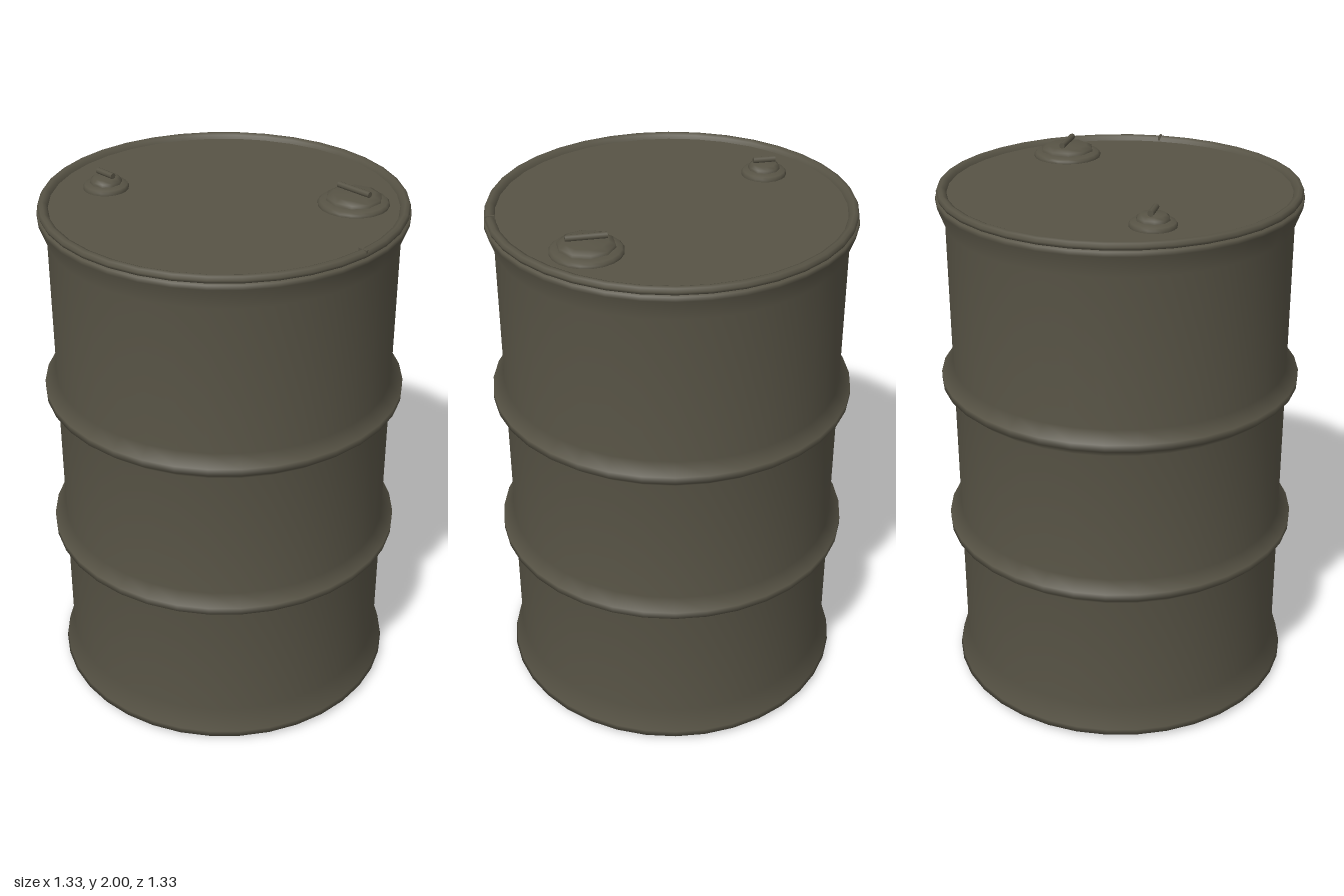
import * as THREE from 'three';

export function createModel() {
  const model = new THREE.Group();
  model.name = 'oilDrum';
  const paint = new THREE.MeshStandardMaterial({ color: 0x575345 });
  paint.name = 'drab olive paint';

  const add = (parent, name, geometry, x = 0, y = 0, z = 0) => {
    const mesh = new THREE.Mesh(geometry, paint);
    mesh.name = name;
    mesh.position.set(x, y, z);
    parent.add(mesh);
    return mesh;
  };
  // Profiles run from the bottom up as [radius, height]
  const lathe = (points, sides) =>
    new THREE.LatheGeometry(points.map(([r, y]) => new THREE.Vector2(r, y)), sides);

  // Shell: flared foot, two rolling hoops, flared top
  const hoop = (y) => [[0.622, y - 0.05], [0.665, y - 0.013], [0.665, y + 0.013], [0.622, y + 0.05]];
  add(model, 'shell', lathe([
    [0.605, 0.003], [0.655, 0.022], [0.65, 0.04], [0.622, 0.13],
    ...hoop(0.64), ...hoop(1.237),
    [0.622, 1.83], [0.652, 1.91], [0.65, 1.925], [0.63, 1.93],
  ], 36));

  // Flat ends
  const base = add(model, 'base', new THREE.CircleGeometry(0.606, 36), 0, 0.003, 0);
  base.rotation.x = Math.PI / 2;
  const lid = add(model, 'lid', new THREE.CircleGeometry(0.625, 36), 0, 1.935, 0);
  lid.rotation.x = -Math.PI / 2;

  // Clamping ring round the lid, with its closing seam
  add(model, 'lidRing', lathe([
    [0.632, 1.924], [0.645, 1.93], [0.648, 1.94], [0.642, 1.951],
    [0.63, 1.954], [0.617, 1.948], [0.611, 1.934],
  ], 36));
  add(model, 'ringSeam', new THREE.BoxGeometry(0.034, 0.016, 0.008), 0.629, 1.947, 0);

  // Screw plugs: round flange, faceted cap and a grip bar
  const plug = (name, x, z, flange, cap, bar) => {
    const group = new THREE.Group();
    group.name = name;
    group.position.set(x, 1.935, z);
    model.add(group);
    add(group, 'flange', lathe([
      [flange, 0], [flange, 0.009], [flange * 0.94, 0.016], [cap * 0.97, 0.022], [0, 0.022],
    ], 20));
    add(group, 'cap', lathe([
      [cap, 0.018], [cap * 0.97, 0.032], [cap * 0.75, 0.042], [0, 0.046],
    ], 10));
    const grip = add(group, 'gripBar', new THREE.CylinderGeometry(0.011, 0.011, bar, 8), 0, 0.054, 0);
    grip.rotation.z = Math.PI / 2;
  };
  plug('largePlug', 0.341, -0.294, 0.125, 0.1, 0.14);
  plug('smallPlug', -0.382, 0.21, 0.081, 0.058, 0.08);

  return model;
}
